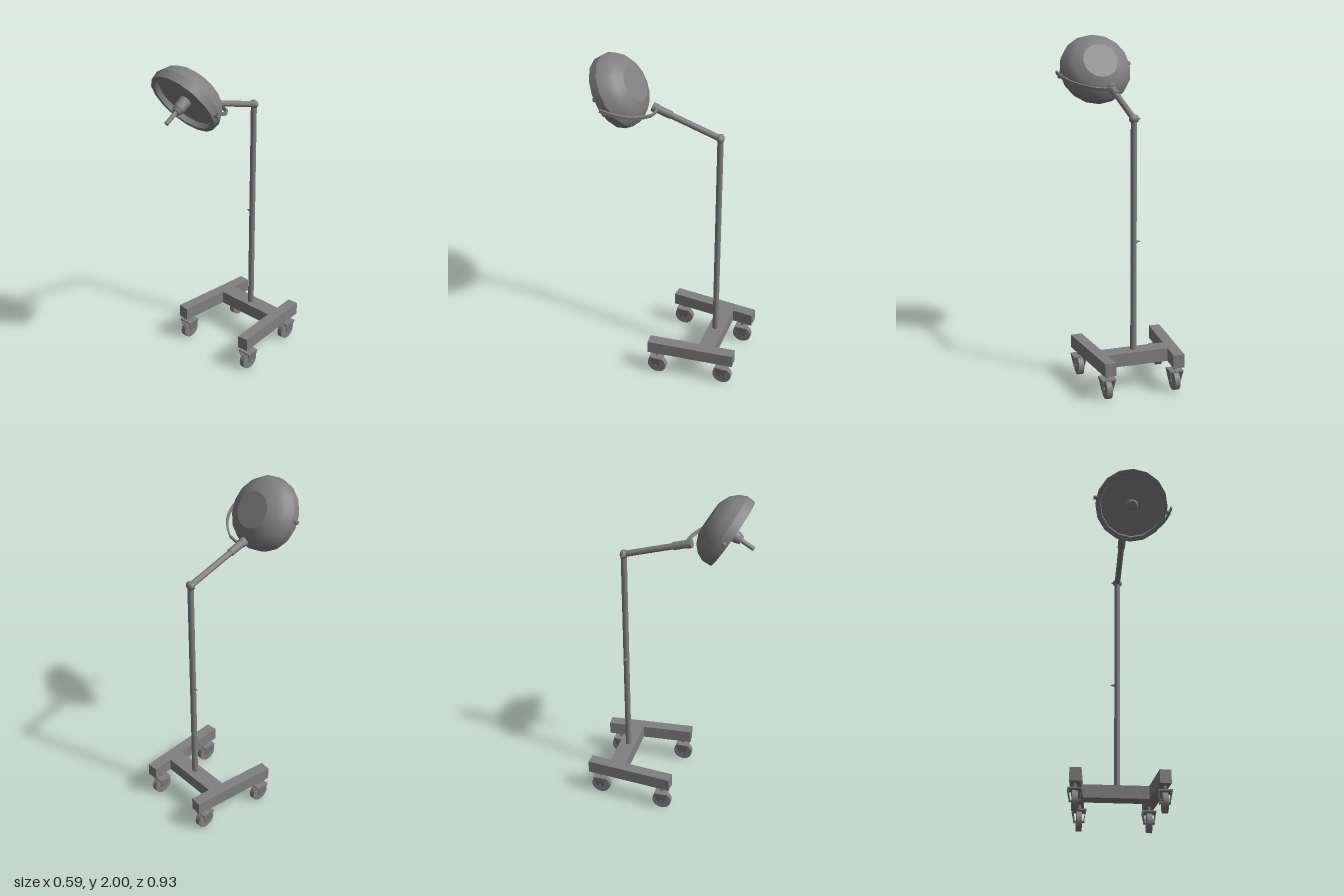
import * as THREE from 'three';
import { toCreasedNormals } from 'three/addons/utils/BufferGeometryUtils.js';

const grey = new THREE.MeshStandardMaterial({ color: 0x808080 });
const V = (x, y, z) => new THREE.Vector3(x, y, z);

function part(parent, name, geometry) {
  const mesh = new THREE.Mesh(geometry, grey);
  mesh.name = name;
  parent.add(mesh);
  return mesh;
}

// Cylinder or cone running from point a to point b
function rod(parent, name, a, b, ra, rb = ra, sides = 12) {
  const dir = b.clone().sub(a);
  const mesh = part(parent, name, new THREE.CylinderGeometry(rb, ra, dir.length(), sides));
  mesh.position.copy(a).add(b).multiplyScalar(0.5);
  mesh.quaternion.setFromUnitVectors(V(0, 1, 0), dir.normalize());
  return mesh;
}

// Outline drawn in x and z, extruded downwards from y = 0
function slab(points, depth) {
  const shape = new THREE.Shape(points.map(([x, z]) => new THREE.Vector2(x, z)));
  return new THREE.ExtrudeGeometry(shape, { depth, bevelEnabled: false }).rotateX(Math.PI / 2);
}

function createCaster(x, z) {
  const caster = new THREE.Group();
  caster.name = 'caster';
  caster.position.set(x, 0, z);
  rod(caster, 'casterStem', V(0, 0.12, 0), V(0, 0.16, 0), 0.01);
  part(caster, 'forkCrown', new THREE.BoxGeometry(0.083, 0.008, 0.08)).position.y = 0.122;
  rod(caster, 'wheel', V(-0.016, 0.058, 0), V(0.016, 0.058, 0), 0.058, 0.058, 18);
  rod(caster, 'axle', V(-0.034, 0.058, 0), V(0.034, 0.058, 0), 0.007, 0.007, 8);
  // Tapered fork cheeks leaning in towards the wheel
  const cheek = new THREE.Shape([[-0.04, 0], [-0.022, -0.072], [0.022, -0.072], [0.04, 0]]
    .map(([u, v]) => new THREE.Vector2(u, v)));
  for (const s of [-1, 1]) {
    const geometry = new THREE.ExtrudeGeometry(cheek, { depth: 0.005, bevelEnabled: false })
      .translate(0, 0, -0.0025).rotateY(Math.PI / 2);
    const mesh = part(caster, 'forkCheek', geometry);
    mesh.position.set(s * 0.039, 0.124, 0);
    mesh.rotation.z = -s * 0.17;
  }
  return caster;
}

function createBase() {
  const base = new THREE.Group();
  base.name = 'base';
  // One half of the splayed H frame, mirrored to the other side
  const half = [[0.193, -0.24], [0.219, 0.066], [0.286, 0.06], [0.24, -0.468], [0.174, -0.464], [0.185, -0.34]];
  const other = half.map(([x, z]) => [-x, z]).reverse();
  part(base, 'frame', slab([...half, ...other], 0.079)).position.y = 0.236;
  for (const s of [-1, 1]) {
    base.add(createCaster(s * 0.252, 0.01), createCaster(s * 0.207, -0.398));
  }
  return base;
}

function createStand() {
  const stand = new THREE.Group();
  stand.name = 'stand';
  const x = 0.009, z = -0.285;
  rod(stand, 'pole', V(x, 0.23, z), V(x, 1.59, z), 0.018);
  rod(stand, 'poleKnob', V(x - 0.015, 0.885, z), V(x - 0.04, 0.885, z), 0.01, 0.002, 8);
  // Elbow joint
  const joint = part(stand, 'elbow', new THREE.SphereGeometry(0.026, 12, 8));
  joint.position.set(x, 1.592, z);
  joint.scale.set(1.15, 1, 0.88);
  rod(stand, 'elbowKnob', V(x - 0.02, 1.592, z), V(x - 0.039, 1.592, z), 0.008, 0.003, 8);
  // Rising arm with sleeve and end collar
  const root = V(x, 1.592, z), tip = V(x, 1.717, 0.112);
  const along = (t) => root.clone().lerp(tip, t);
  rod(stand, 'arm', root, tip, 0.018);
  rod(stand, 'armSleeve', along(0.735), along(0.95), 0.023);
  rod(stand, 'armCollar', along(0.94), along(1.01), 0.027);
  return stand;
}

// Curved flat bar carrying the head on one side
function createYoke() {
  const curve = new THREE.CatmullRomCurve3([
    V(0.012, 0, -0.004), V(0.094, 0, 0.004), V(0.146, 0, 0.031), V(0.196, 0, 0.07),
    V(0.236, 0, 0.115), V(0.263, 0, 0.167), V(0.279, 0, 0.226), V(0.283, 0, 0.249)]);
  const outer = [], inner = [];
  for (let i = 0; i <= 12; i++) {
    const p = curve.getPoint(i / 12), t = curve.getTangent(i / 12);
    outer.push([p.x + t.z * 0.005, p.z - t.x * 0.005]);
    inner.unshift([p.x - t.z * 0.005, p.z + t.x * 0.005]);
  }
  const geometry = slab([...outer, ...inner], 0.02).translate(0, 0.01, 0);
  const yoke = new THREE.Mesh(toCreasedNormals(geometry, 0.6), grey);
  yoke.name = 'yoke';
  yoke.position.set(0, 1.712, 0.085);
  yoke.rotation.x = -0.337;
  return yoke;
}

// Head built facing +z with its opening at the origin, then tilted down
function createHead() {
  const head = new THREE.Group();
  head.name = 'lampHead';
  head.position.set(0.045, 1.787, 0.336);
  head.rotation.x = 0.545;
  // Turned sections, each smooth in itself with a sharp edge to the next
  const sections = {
    shellBack: [[0, -0.156], [0.106, -0.156]],
    shellDome: [[0.106, -0.156], [0.16, -0.132], [0.196, -0.096], [0.217, -0.051]],
    shellBand: [[0.217, -0.051], [0.213, 0]],
    rimEdge: [[0.213, 0], [0.19, 0]],
    rimInside: [[0.19, 0], [0.184, -0.03]],
    lampFace: [[0.184, -0.03], [0, -0.03]],
  };
  for (const [name, points] of Object.entries(sections)) {
    const profile = points.map(([r, y]) => new THREE.Vector2(r, y));
    part(head, name, new THREE.LatheGeometry(profile, 16).rotateX(Math.PI / 2));
  }
  // Grip in the middle of the opening
  rod(head, 'gripBase', V(0, 0, -0.035), V(0, 0, 0.034), 0.036, 0.034);
  rod(head, 'gripCollar', V(0, 0, 0.034), V(0, 0, 0.06), 0.034, 0.024);
  rod(head, 'gripHandle', V(0, 0, 0.055), V(0, 0, 0.145), 0.013);
  // Pivots on opposite sides of the rim
  rod(head, 'yokePivot', V(0.2, -0.033, -0.026), V(0.234, -0.033, -0.026), 0.014, 0.014, 10);
  rod(head, 'sideKnob', V(-0.195, 0.036, -0.022), V(-0.229, 0.036, -0.022), 0.015, 0.012, 10);
  return head;
}

export function createModel() {
  const model = new THREE.Group();
  model.name = 'mobileExaminationLamp';
  model.add(createBase(), createStand(), createYoke(), createHead());
  return model;
}
